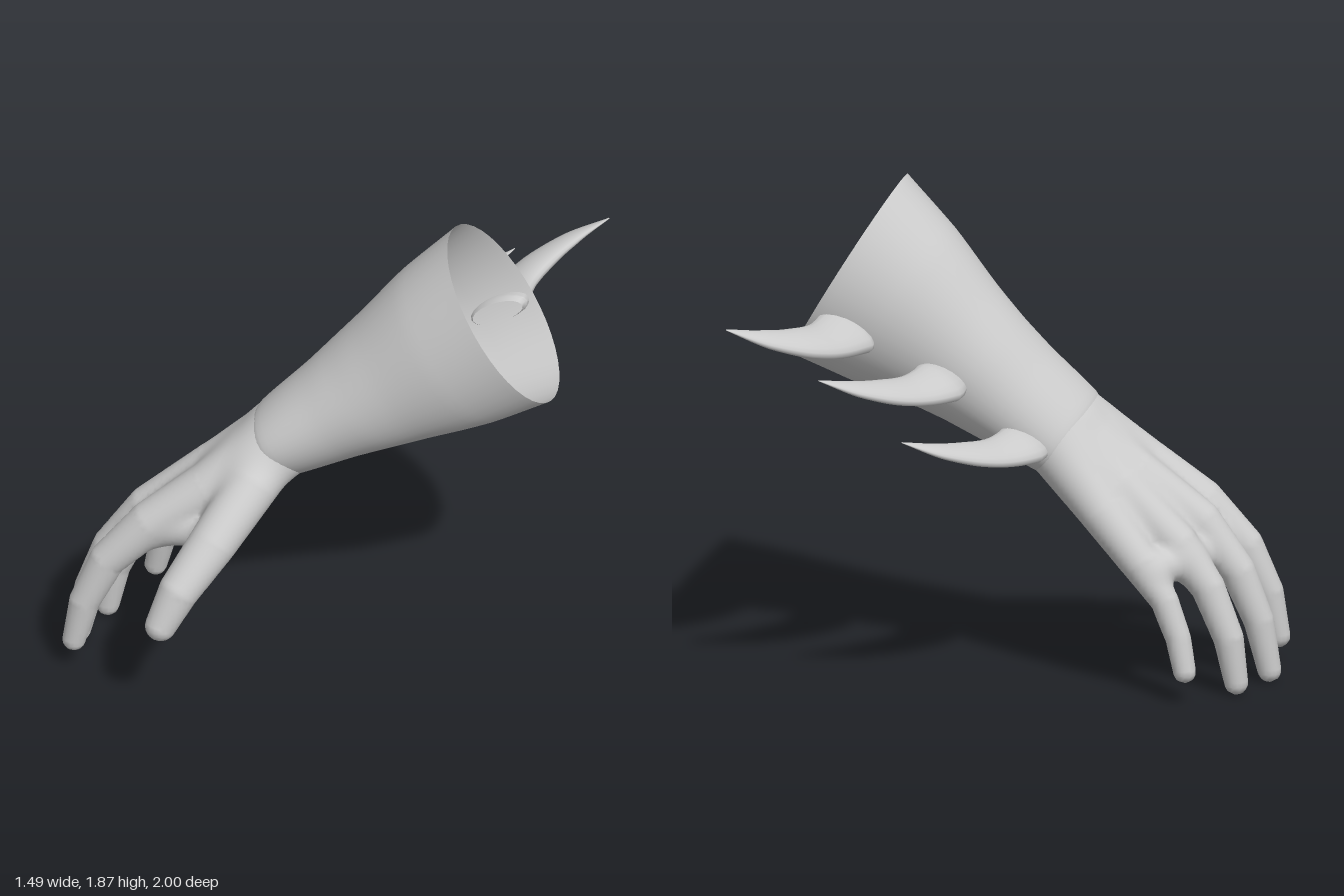
import * as THREE from 'three';

const V = (a) => new THREE.Vector3(...a);
const material = new THREE.MeshStandardMaterial({ color: 0xcccccc });
const skin = new THREE.MeshStandardMaterial({ color: 0xcccccc, side: THREE.DoubleSide });

// Arm frame: along the arm, across the knuckles, out of the back of the hand
const along = V([0.63, 0.59, -0.5]).normalize();
const across = V([0.43, 0.27, 0.85]);
across.addScaledVector(along, -across.dot(along)).normalize();
const dorsal = across.clone().cross(along);

// Smooth skin through equal-sized rings, closed at the last ring
function loft(rings, name, mat) {
  const n = rings[0].length, pos = [], idx = [];
  rings.forEach((ring) => ring.forEach((p) => pos.push(p.x, p.y, p.z)));
  for (let i = 0; i < rings.length - 1; i++) {
    for (let j = 0; j < n; j++) {
      const k = (j + 1) % n, a = i * n + j, b = i * n + k;
      idx.push(a, b, b + n, a, b + n, a + n);
    }
  }
  const last = rings[rings.length - 1], base = (rings.length - 1) * n;
  const end = last.reduce((s, p) => s.add(p), new THREE.Vector3()).divideScalar(n);
  pos.push(end.x, end.y, end.z);
  for (let j = 0; j < n; j++) idx.push(base + j, base + ((j + 1) % n), base + n);
  const geo = new THREE.BufferGeometry();
  geo.setAttribute('position', new THREE.Float32BufferAttribute(pos, 3));
  geo.setIndex(idx);
  geo.computeVertexNormals();
  const mesh = new THREE.Mesh(geo, mat);
  mesh.name = name;
  return mesh;
}

function ellipse(c, u, v, ru, rv, n) {
  return Array.from({ length: n }, (_, j) => {
    const t = (j / n) * Math.PI * 2;
    return c.clone().addScaledVector(u, ru * Math.cos(t)).addScaledVector(v, rv * Math.sin(t));
  });
}

// Open cuff and forearm, narrowing into the wrist.
// Station: centre x, y, z, half width, half thickness
function forearm() {
  const stations = [
    [0.515, 1.535, -0.235, 0.33, 0.366], [0.365, 1.39, -0.105, 0.3, 0.33],
    [0.21, 1.24, 0.02, 0.26, 0.265], [0.04, 1.08, 0.155, 0.235, 0.2],
    [-0.11, 0.94, 0.28, 0.22, 0.152], [-0.16, 0.89, 0.32, 0.18, 0.11], [-0.2, 0.85, 0.35, 0.1, 0.06],
  ];
  const centres = new THREE.CatmullRomCurve3(stations.map((s) => V(s.slice(0, 3))));
  const sizes = new THREE.CatmullRomCurve3(stations.map((s) => V([s[3], s[4], 0])));
  const rings = [], steps = 48, n = 40;
  for (let i = 0; i <= steps; i++) {
    const t = i / steps, s = sizes.getPoint(t), near = Math.max(0, 1 - t * 2.4);
    const ring = ellipse(centres.getPoint(t), across, dorsal, s.x, s.y, n);
    ring.forEach((p, j) => {
      const a = (j / n) * Math.PI * 2;
      const lift = s.y * 0.22 * near * Math.cos(a);
      p.addScaledVector(dorsal, lift);
      p.addScaledVector(along, 0.11 * near * (s.y * Math.sin(a) + lift)); // slanted rim
    });
    rings.push(ring);
  }
  return loft(rings, 'forearm', skin);
}

// Hand bones as chains of x, y, z, radius
const chains = [
  // index, middle, ring and little finger, from wrist to tip
  [[-0.08, 0.955, 0.355, 0.125], [-0.22, 0.79, 0.56, 0.095], [-0.36, 0.645, 0.72, 0.082], [-0.47, 0.48, 0.835, 0.067], [-0.525, 0.3, 0.9, 0.057], [-0.55, 0.13, 0.93, 0.043]],
  [[-0.1, 0.945, 0.3, 0.13], [-0.3, 0.785, 0.45, 0.095], [-0.47, 0.61, 0.62, 0.08], [-0.58, 0.43, 0.71, 0.065], [-0.635, 0.24, 0.765, 0.056], [-0.66, 0.05, 0.795, 0.044]],
  [[-0.12, 0.935, 0.26, 0.13], [-0.33, 0.765, 0.35, 0.09], [-0.52, 0.565, 0.47, 0.078], [-0.62, 0.41, 0.535, 0.063], [-0.685, 0.22, 0.58, 0.056], [-0.705, 0.05, 0.6, 0.044]],
  [[-0.145, 0.92, 0.205, 0.125], [-0.36, 0.695, 0.245, 0.085], [-0.51, 0.52, 0.305, 0.072], [-0.6, 0.39, 0.345, 0.052], [-0.65, 0.25, 0.37, 0.047], [-0.68, 0.13, 0.375, 0.042]],
  // thumb
  [[-0.08, 0.935, 0.35, 0.11], [-0.055, 0.85, 0.5, 0.098], [-0.055, 0.69, 0.705, 0.088], [-0.07, 0.55, 0.865, 0.075], [-0.09, 0.42, 0.94, 0.058]],
  // web between thumb and index finger, pad under the knuckles, core of the wrist
  [[-0.1, 0.8, 0.5, 0.06], [-0.12, 0.67, 0.64, 0.05], [-0.33, 0.6, 0.69, 0.05]],
  [[-0.55, 0.5, 0.36, 0.05], [-0.53, 0.5, 0.52, 0.055], [-0.46, 0.53, 0.69, 0.05]],
  [[0.04, 1.08, 0.155, 0.15], [-0.11, 0.94, 0.28, 0.12]],
];

// Distance to the hand, with the chains melted together
function handField(x, y, z) {
  const blend = 0.05;
  let total = Infinity;
  for (const chain of chains) {
    let d = Infinity;
    for (let i = 1; i < chain.length; i++) {
      const [ax, ay, az, ar] = chain[i - 1], [bx, by, bz, br] = chain[i];
      const ux = bx - ax, uy = by - ay, uz = bz - az, px = x - ax, py = y - ay, pz = z - az;
      const t = Math.min(1, Math.max(0, (px * ux + py * uy + pz * uz) / (ux * ux + uy * uy + uz * uz)));
      d = Math.min(d, Math.hypot(px - t * ux, py - t * uy, pz - t * uz) - ar - t * (br - ar));
    }
    const h = total === Infinity ? 0 : Math.max(blend - Math.abs(total - d), 0) / blend;
    total = Math.min(total, d) - h * h * blend * 0.25;
  }
  return total;
}

// Skin of the hand: one vertex per grid cell that the surface crosses
function handSkin() {
  const cell = 0.02, size = [48, 60, 54], low = [-0.82, -0.03, 0];
  const at = (g) => g[0] + size[0] * (g[1] + size[1] * g[2]);
  const field = new Float32Array(size[0] * size[1] * size[2]);
  const each = (fn) => {
    for (let k = 0; k < size[2]; k++) for (let j = 0; j < size[1]; j++) for (let i = 0; i < size[0]; i++) fn([i, j, k]);
  };
  each((g) => { field[at(g)] = handField(...g.map((v, a) => low[a] + v * cell)); });
  const slope = (p) => {
    const e = 0.004;
    return V([0, 1, 2].map((a) => {
      const q = [...p], r = [...p];
      q[a] += e; r[a] -= e;
      return handField(...q) - handField(...r);
    })).normalize();
  };
  const pos = [], nor = [], idx = [], vertex = new Map();
  const corner = (g) => {
    const key = at(g);
    if (!vertex.has(key)) {
      // settle the cell centre onto the surface
      const p = V(g.map((v, a) => low[a] + (v + 0.5) * cell));
      for (let s = 0; s < 3; s++) p.addScaledVector(slope(p.toArray()), -handField(p.x, p.y, p.z));
      vertex.set(key, pos.length / 3);
      pos.push(...p.toArray());
      nor.push(...slope(p.toArray()).toArray());
    }
    return vertex.get(key);
  };
  each((g) => {
    for (let a = 0; a < 3; a++) {
      const u = (a + 1) % 3, v = (a + 2) % 3, next = [...g];
      next[a]++;
      if (next[a] >= size[a] || g[u] < 1 || g[v] < 1) continue;
      const inside = field[at(g)] < 0;
      if (inside === field[at(next)] < 0) continue;
      const quad = [[1, 1], [0, 1], [0, 0], [1, 0]].map(([du, dv]) => {
        const c = [...g];
        c[u] -= du; c[v] -= dv;
        return corner(c);
      });
      if (!inside) quad.reverse();
      idx.push(quad[0], quad[1], quad[2], quad[0], quad[2], quad[3]);
    }
  });
  const geo = new THREE.BufferGeometry();
  geo.setAttribute('position', new THREE.Float32BufferAttribute(pos, 3));
  geo.setAttribute('normal', new THREE.Float32BufferAttribute(nor, 3));
  geo.setIndex(idx);
  const mesh = new THREE.Mesh(geo, material);
  mesh.name = 'hand';
  return mesh;
}

// Flat curved horn along a path
function horn(name, points, radii) {
  const curve = new THREE.CatmullRomCurve3(points.map(V)), side = V([0.9, 0.4, 0]), steps = 24;
  const rings = Array.from({ length: steps + 1 }, (_, i) => {
    const t = i / steps, f = t * (radii.length - 1), k = Math.min(Math.floor(f), radii.length - 2);
    const r = THREE.MathUtils.lerp(radii[k], radii[k + 1], f - k), tan = curve.getTangent(t);
    const u = side.clone().addScaledVector(tan, -side.dot(tan)).normalize();
    return ellipse(curve.getPoint(t), u, tan.clone().cross(u), r, r * 0.42, 18);
  });
  return loft(rings, name, material);
}

export function createModel() {
  const model = new THREE.Group();
  model.name = 'clawedGauntlet';
  model.add(forearm(), handSkin());

  // Three curved blades along the outer edge of the forearm
  const path = [[-0.17, 0.95, 0.02], [-0.205, 0.955, -0.12], [-0.215, 0.98, -0.26], [-0.205, 1.02, -0.41], [-0.17, 1.07, -0.55]];
  const blades = [
    { offset: [0, 0, 0], root: [-0.11, 0.95, 0.12], bow: 0, width: 1 },
    { offset: [0.19, 0.24, -0.24], root: [-0.12, 0.95, 0.1], bow: 0, width: 1.05 },
    { offset: [0.47, 0.41, -0.45], root: [-0.15, 0.95, 0.05], bow: 0.03, width: 1.22 },
  ];
  blades.forEach(({ offset, root, bow, width }, i) => {
    const points = [root, ...path.map(([x, y, z], k) => [x - bow * Math.sin((k / 4) * Math.PI), y, z])];
    const blade = horn(`blade${i + 1}`, points, [0.085, 0.1, 0.078, 0.066, 0.042, 0.003].map((r) => r * width));
    blade.position.set(...offset);
    model.add(blade);
  });
  return model;
}
